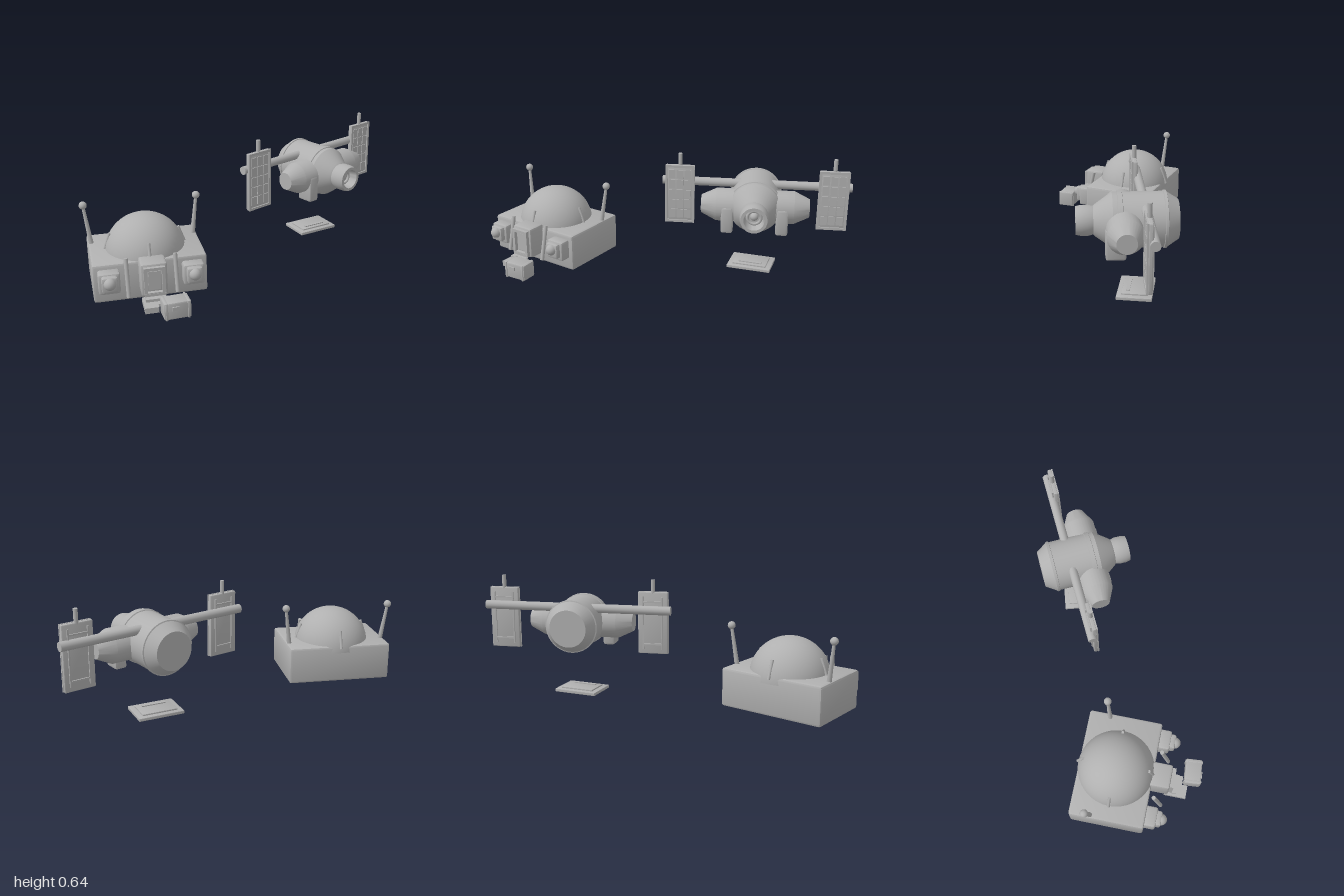
import * as THREE from 'three';
import { toCreasedNormals } from 'three/addons/utils/BufferGeometryUtils.js';
import { RoundedBoxGeometry } from 'three/addons/geometries/RoundedBoxGeometry.js';

const grey = new THREE.MeshStandardMaterial({ color: 0xb0b0b0 });
grey.name = 'plain grey';

function add(parent, name, geometry, x = 0, y = 0, z = 0) {
  const mesh = new THREE.Mesh(geometry, grey);
  mesh.name = name;
  mesh.position.set(x, y, z);
  parent.add(mesh);
  return mesh;
}
const box = (w, h, d) => new THREE.BoxGeometry(w, h, d);
const bevelBox = (w, h, d, r) => toCreasedNormals(new RoundedBoxGeometry(w, h, d, 1, r), 0.5);
const lathe = (points, segments = 32) =>
  toCreasedNormals(new THREE.LatheGeometry(points.map(p => new THREE.Vector2(...p)), segments), 0.45);

// Straight rod between two points
function rod(parent, name, a, b, r0, r1 = r0) {
  const from = new THREE.Vector3(...a), to = new THREE.Vector3(...b);
  const dir = to.clone().sub(from);
  const mesh = add(parent, name, new THREE.CylinderGeometry(r1, r0, dir.length(), 14));
  mesh.position.copy(from).add(to).multiplyScalar(0.5);
  mesh.quaternion.setFromUnitVectors(new THREE.Vector3(0, 1, 0), dir.normalize());
  return mesh;
}

// Rectangular frame extruded along z
function frame(w, h, border, depth) {
  const rect = (P, a, b) => new P([[-a, -b], [a, -b], [a, b], [-a, b]].map(p => new THREE.Vector2(...p)));
  const shape = rect(THREE.Shape, w / 2, h / 2);
  shape.holes.push(rect(THREE.Path, w / 2 - border, h / 2 - border));
  return new THREE.ExtrudeGeometry(shape, { depth, bevelEnabled: false });
}

function groundStation() {
  const g = new THREE.Group();
  g.name = 'groundStation';
  add(g, 'stationHall', bevelBox(0.58, 0.207, 0.405, 0.012), 0, 0.1035, 0);

  // Dome with four ribs lying on its surface
  add(g, 'dome', new THREE.SphereGeometry(0.21, 40, 16, 0, Math.PI * 2, 0, Math.PI / 2), 0, 0.17, 0);
  const underside = add(g, 'domeUnderside', new THREE.CircleGeometry(0.21, 40), 0, 0.17, 0);
  underside.rotation.x = Math.PI / 2;
  for (let i = 0; i < 4; i++) {
    const s = Math.sin(i * Math.PI / 2), c = Math.cos(i * Math.PI / 2);
    rod(g, 'domeRib', [0.212 * s, 0.195, 0.212 * c], [0.178 * s, 0.29, 0.178 * c], 0.008);
  }

  for (const s of [-1, 1]) {
    // Antennas
    rod(g, 'antennaMast', [s * 0.27, 0.2, -0.088], [s * 0.297, 0.41, -0.105], 0.013, 0.008);
    add(g, 'antennaBall', new THREE.SphereGeometry(0.021, 16, 12), s * 0.297, 0.415, -0.105);

    // Lamp housings
    add(g, 'lampHousing', bevelBox(0.108, 0.112, 0.07, 0.012), s * 0.212, 0.127, 0.228);
    add(g, 'lampBezel', bevelBox(0.08, 0.085, 0.045, 0.012), s * 0.212, 0.133, 0.268);
    add(g, 'lamp', new THREE.SphereGeometry(0.031, 18, 12), s * 0.212, 0.142, 0.288);

    // Leaning posts beside the entrance
    rod(g, 'entrancePost', [s * 0.123, 0.05, 0.272], [s * 0.123, 0.243, 0.226], 0.011);
  }

  // Entrance porch with a recessed door
  add(g, 'porch', bevelBox(0.132, 0.175, 0.11, 0.012), 0.005, 0.143, 0.245);
  add(g, 'doorFrame', frame(0.106, 0.15, 0.016, 0.022), 0.005, 0.143, 0.298);
  add(g, 'door', box(0.06, 0.1, 0.008), 0.005, 0.143, 0.302);

  // Steps down from the door
  for (let i = 0; i < 3; i++) {
    add(g, 'step', box(0.105, 0.014, 0.03), 0.005, 0.072 - i * 0.017, 0.306 + i * 0.024);
  }
  add(g, 'walkway', box(0.07, 0.03, 0.12), -0.025, 0.03, 0.34);

  g.position.set(-0.667, 0, -0.073);
  g.rotation.y = -0.28;
  return g;
}

function supplyCrate() {
  const g = new THREE.Group();
  g.name = 'supplyCrate';
  add(g, 'crate', bevelBox(0.136, 0.09, 0.09, 0.007), 0, 0.046, 0);
  for (const s of [-1, 1]) {
    add(g, 'crateBand', bevelBox(0.012, 0.092, 0.098, 0.003), s * 0.055, 0.046, 0);
  }
  add(g, 'crateLatch', box(0.035, 0.02, 0.008), -0.012, 0.06, 0.047);
  g.position.set(-0.698, 0, 0.352);
  g.rotation.y = -0.2;
  return g;
}

function solarPanel() {
  const g = new THREE.Group();
  g.name = 'solarPanel';
  const W = 0.164, H = 0.338;
  add(g, 'panelBoard', bevelBox(W, H, 0.022, 0.006));
  add(g, 'panelFrame', frame(W, H, 0.014, 0.008), 0, 0, 0.01);
  // Cells
  for (let i = 0; i < 3; i++) for (let j = 0; j < 5; j++) {
    add(g, 'solarCell', box(0.037, 0.05, 0.006), (i - 1) * 0.043, (j - 2) * 0.058, 0.013);
  }
  // Stiffeners on the back
  for (const s of [-1, 1]) {
    add(g, 'backRail', box(0.008, H - 0.05, 0.008), s * 0.052, 0, -0.014);
    add(g, 'backCrossRail', box(0.112, 0.008, 0.008), 0, s * 0.115, -0.014);
  }
  rod(g, 'panelPin', [0, 0.16, 0], [0, 0.235, 0], 0.0115);
  return g;
}

function satellite() {
  const g = new THREE.Group();
  g.name = 'satellite';

  // Hull with tapered ends and an open docking collar
  const hull = lathe([
    [0, -0.165], [0.1, -0.165], [0.137, -0.107], [0.143, -0.105], [0.143, -0.092], [0.138, -0.09],
    [0.138, 0.11], [0.143, 0.112], [0.143, 0.135], [0.138, 0.137], [0.138, 0.16], [0.078, 0.245],
    [0.07, 0.252], [0.076, 0.275], [0.076, 0.312], [0.07, 0.338], [0.054, 0.338], [0.046, 0.275], [0, 0.275],
  ], 40);
  hull.rotateX(Math.PI / 2);
  add(g, 'hull', hull);
  add(g, 'dockingRing', new THREE.TorusGeometry(0.036, 0.008, 10, 28), 0, 0, 0.29);
  add(g, 'dockingPort', new THREE.SphereGeometry(0.022, 18, 12), 0, 0, 0.276);

  // Crossbar through the top of the hull
  rod(g, 'crossbar', [-0.522, 0.085, 0], [0.522, 0.085, 0], 0.024);

  for (const s of [-1, 1]) {
    // Side pods
    const pod = lathe([[0, 0], [0.09, 0], [0.09, 0.21], [0.05, 0.293], [0, 0.293]]);
    pod.rotateZ(-s * Math.PI / 2);
    add(g, 'sidePod', pod, 0, -0.005, 0.105);

    // Feet beneath the pods
    add(g, 'foot', bevelBox(0.065, 0.15, 0.1, 0.012), s * 0.148, -0.065, 0.148);

    // Solar panels
    const panel = solarPanel();
    panel.position.set(s * 0.422, 0.014, 0.018);
    g.add(panel);
  }

  g.position.set(0.484, 0.39, -0.243);
  g.rotation.y = 0.187;
  return g;
}

function landingPad() {
  const g = new THREE.Group();
  g.name = 'landingPad';
  add(g, 'padBase', bevelBox(0.246, 0.018, 0.18, 0.004), 0, 0.009, 0);
  add(g, 'padTop', bevelBox(0.19, 0.012, 0.13, 0.003), 0, 0.02, 0);
  add(g, 'padBar', box(0.13, 0.006, 0.018), 0, 0.028, 0.035);
  g.position.set(0.483, 0, -0.207);
  return g;
}

export function createModel() {
  const model = new THREE.Group();
  model.name = 'spaceOutpost';
  model.add(groundStation(), supplyCrate(), satellite(), landingPad());
  return model;
}
